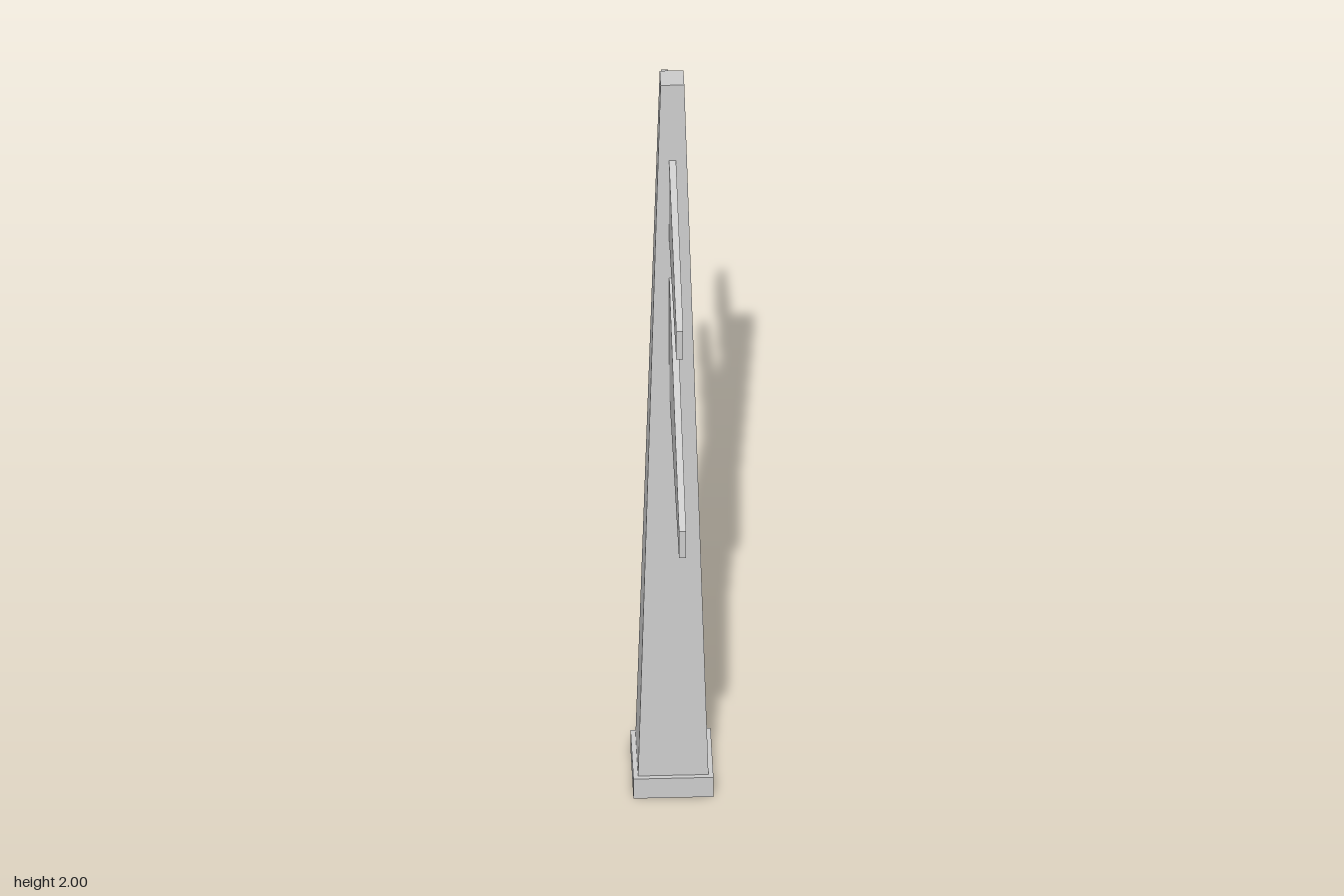
import * as THREE from 'three';

const material = new THREE.MeshStandardMaterial({ color: 0xcccccc, flatShading: true });

function addMesh(parent, name, geometry) {
  const mesh = new THREE.Mesh(geometry, material);
  mesh.name = name;
  parent.add(mesh);
  return mesh;
}

// Thin tapered bracket in the y-z plane, reaching out along +z
function armGeometry(rootZ, tipZ, bottom, tipTop, rootTop, thickness) {
  const shape = new THREE.Shape([
    new THREE.Vector2(rootZ, bottom),
    new THREE.Vector2(tipZ, bottom),
    new THREE.Vector2(tipZ, tipTop),
    new THREE.Vector2(rootTop[0], rootTop[1]),
  ]);
  return new THREE.ExtrudeGeometry(shape, { depth: thickness, bevelEnabled: false })
    .translate(0, 0, -thickness / 2)
    .rotateY(-Math.PI / 2);
}

export function createModel() {
  const model = new THREE.Group();
  model.name = 'utilityPole';

  // Square footing
  const baseHeight = 0.056;
  addMesh(model, 'base', new THREE.BoxGeometry(0.182, baseHeight, 0.182).translate(0, baseHeight / 2, 0));

  // Square mast tapering to the top
  const mastHeight = 2 - baseHeight;
  addMesh(model, 'mast',
    new THREE.CylinderGeometry(0.027 * Math.SQRT2, 0.08 * Math.SQRT2, mastHeight, 4)
      .rotateY(Math.PI / 4)
      .translate(0, baseHeight + mastHeight / 2, 0));

  // Two tiers of crossarms, each mirrored front and back
  const tiers = [
    { name: 'upperArm', geometry: armGeometry(0.034, 0.485, 1.567, 1.647, [0.03, 1.789], 0.016) },
    { name: 'lowerArm', geometry: armGeometry(0.046, 0.66, 1.132, 1.208, [0.038, 1.459], 0.016) },
  ];
  for (const { name, geometry } of tiers) {
    addMesh(model, name + 'Front', geometry);
    addMesh(model, name + 'Back', geometry).rotation.y = Math.PI;
  }

  return model;
}
